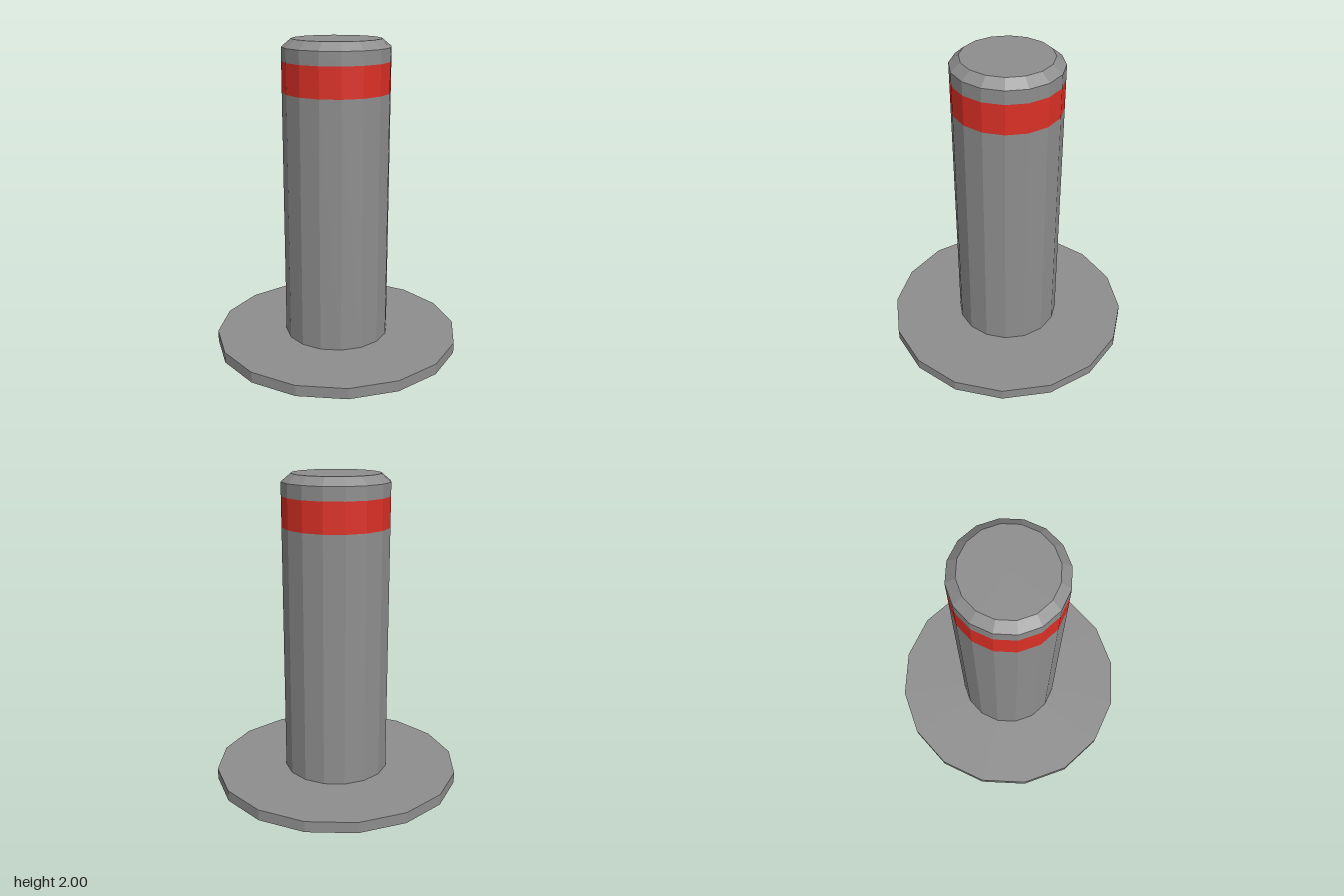
import * as THREE from 'three';

const SIDES = 16;

export function createModel() {
  const model = new THREE.Group();
  model.name = 'bollard';

  const steel = new THREE.MeshStandardMaterial({ color: 0x8e8e8e, flatShading: true });
  steel.name = 'grey steel';
  const red = new THREE.MeshStandardMaterial({ color: 0xdc3026, flatShading: true });
  red.name = 'red paint';

  // Faceted solid of revolution from [radius, height] points, bottom to top
  function turned(name, points, material) {
    const profile = points.map(([r, y]) => new THREE.Vector2(r, y));
    const mesh = new THREE.Mesh(new THREE.LatheGeometry(profile, SIDES), material);
    mesh.name = name;
    model.add(mesh);
  }

  // Ground flange
  turned('basePlate', [[0, 0], [0.8, 0], [0.8, 0.07], [0, 0.07]], steel);

  // Post below the band
  turned('post', [[0.34, 0.07], [0.34, 1.675]], steel);

  // Painted warning band, flush with the post
  turned('warningBand', [[0.34, 1.675], [0.34, 1.865]], red);

  // Chamfered top
  turned('cap', [[0.34, 1.865], [0.34, 1.95], [0.28, 2], [0, 2]], steel);

  return model;
}
